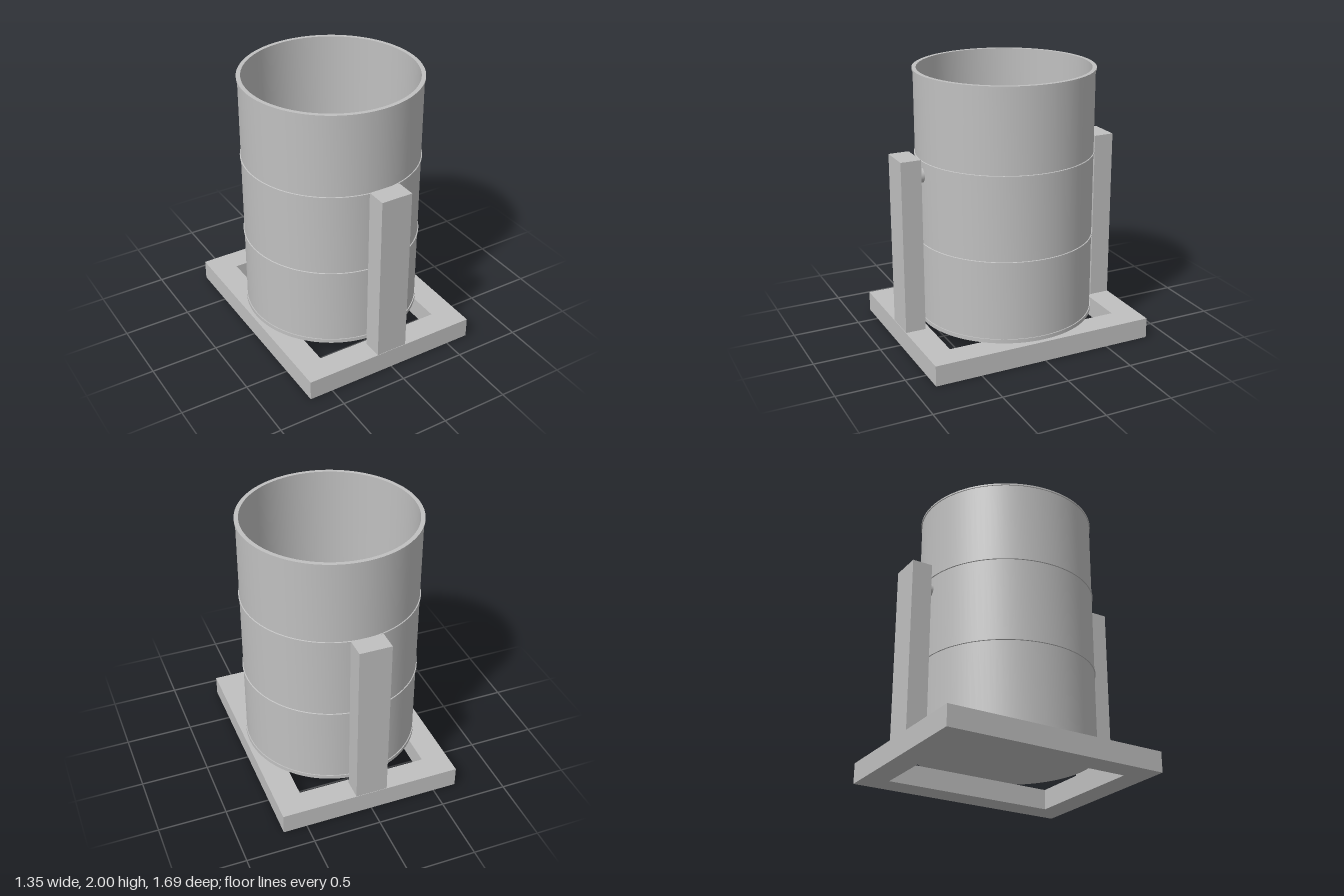
import * as THREE from 'three';
import { toCreasedNormals } from 'three/addons/utils/BufferGeometryUtils.js';

export function createModel() {
  const model = new THREE.Group();
  model.name = 'tiltingDrum';
  const steel = new THREE.MeshStandardMaterial({ color: 0xc0c0c0 });
  steel.name = 'steelGrey';

  const add = (name, geometry, x = 0, y = 0, z = 0) => {
    const mesh = new THREE.Mesh(geometry, steel);
    mesh.name = name;
    mesh.position.set(x, y, z);
    model.add(mesh);
    return mesh;
  };

  // Rectangular base frame with an open middle
  const rectangle = (path, hx, hz) =>
    path.moveTo(-hx, -hz).lineTo(hx, -hz).lineTo(hx, hz).lineTo(-hx, hz).closePath();
  const outline = new THREE.Shape();
  rectangle(outline, 0.675, 0.843);
  const opening = new THREE.Path();
  rectangle(opening, 0.485, 0.657);
  outline.holes.push(opening);
  const frame = new THREE.ExtrudeGeometry(outline, { depth: 0.152, bevelEnabled: false });
  frame.rotateX(-Math.PI / 2);
  add('baseFrame', frame);

  // Open drum: closed underside, hooped outer wall, rim, inner wall, inner floor
  const R = 0.643, hoopR = 0.65, innerR = 0.62;
  const profile = [[0, 0.158], [hoopR, 0.158], [hoopR, 0.187], [R, 0.187]];
  for (const y of [0.765, 1.385]) {
    profile.push([R, y - 0.006], [hoopR, y - 0.004], [hoopR, y + 0.004], [R, y + 0.006]);
  }
  profile.push([R, 1.988], [hoopR, 1.988], [hoopR, 2], [innerR, 2], [innerR, 0.187], [0, 0.187]);
  const drum = new THREE.LatheGeometry(profile.map(([r, y]) => new THREE.Vector2(r, y)), 96);
  add('drum', toCreasedNormals(drum, 0.5));

  // Upright post and pivot pin at the front and back
  for (const [side, s] of [['front', 1], ['back', -1]]) {
    add(side + 'Post', new THREE.BoxGeometry(0.236, 1.278, 0.15), 0, 0.791, s * 0.765);
    const pin = new THREE.CylinderGeometry(0.056, 0.056, 0.07, 32);
    pin.rotateX(Math.PI / 2);
    add(side + 'PivotPin', pin, 0, 1.285, s * 0.665);
  }
  return model;
}
